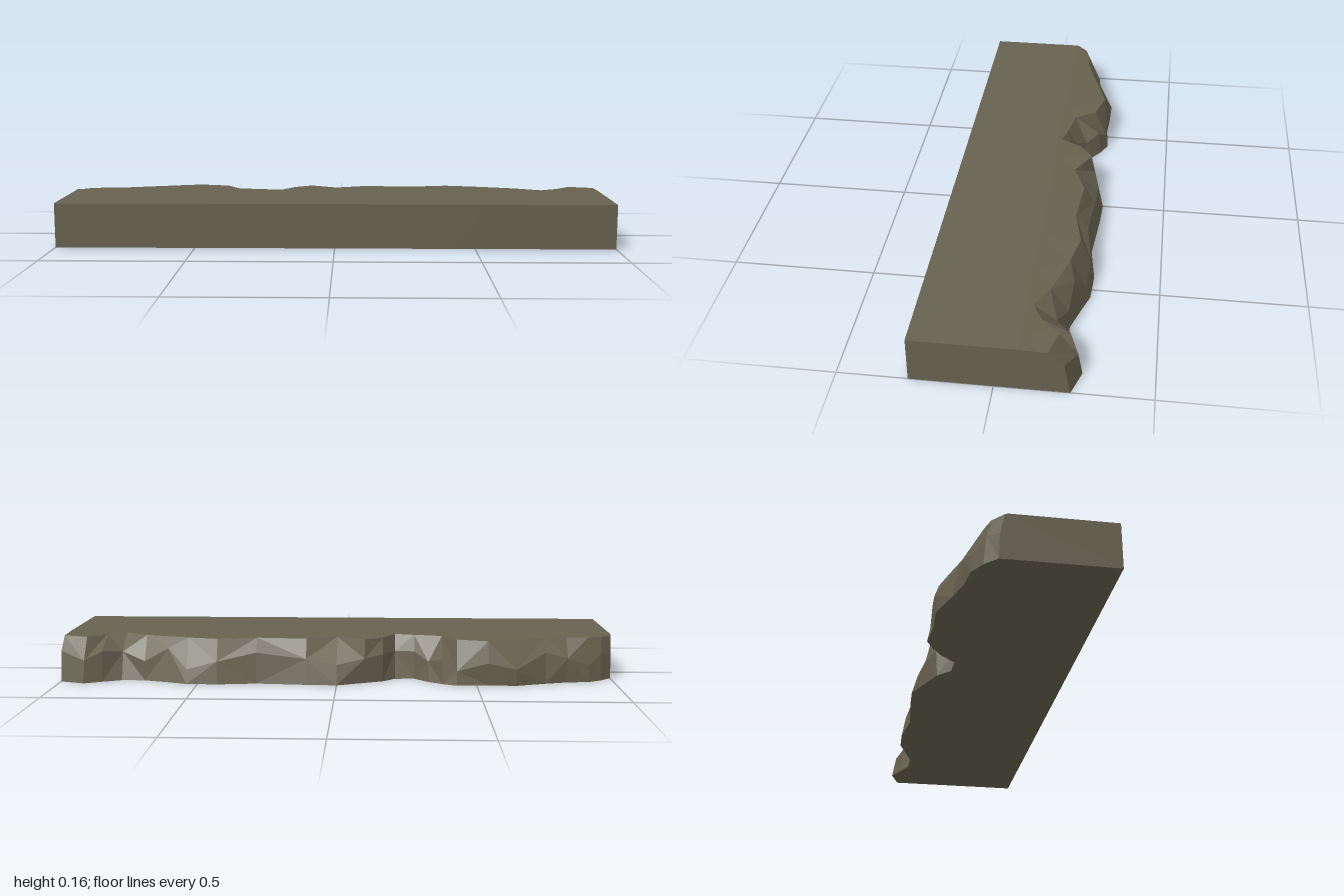
import * as THREE from 'three';

const FRONT = 0.27, TOP = 0.16, INNER = -0.08;

// Stations along the broken edge: x, foot z, bulge z, bulge height, rim z
const EDGE = [
  [-1.0, -0.11, -0.105, 0.09, -0.09],
  [-0.96, -0.15, -0.14, 0.1, -0.125],
  [-0.91, -0.18, -0.175, 0.06, -0.14],
  [-0.83, -0.19, -0.195, 0.09, -0.145],
  [-0.75, -0.215, -0.2, 0.11, -0.17],
  [-0.64, -0.255, -0.26, 0.06, -0.205],
  [-0.54, -0.25, -0.255, 0.08, -0.235],
  [-0.43, -0.26, -0.25, 0.05, -0.205],
  [-0.38, -0.235, -0.225, 0.09, -0.13],
  [-0.33, -0.2, -0.18, 0.07, -0.12],
  [-0.28, -0.145, -0.135, 0.1, -0.11],
  [-0.21, -0.15, -0.125, 0.1, -0.092],
  [-0.165, -0.195, -0.2, 0.1, -0.17],
  [-0.1, -0.225, -0.23, 0.09, -0.215],
  [0.0, -0.27, -0.25, 0.07, -0.16],
  [0.11, -0.265, -0.245, 0.09, -0.205],
  [0.29, -0.25, -0.235, 0.11, -0.19],
  [0.43, -0.27, -0.255, 0.08, -0.22],
  [0.54, -0.265, -0.25, 0.05, -0.195],
  [0.61, -0.24, -0.215, 0.12, -0.175],
  [0.7, -0.21, -0.205, 0.07, -0.145],
  [0.785, -0.21, -0.175, 0.1, -0.1],
  [0.85, -0.24, -0.225, 0.11, -0.135],
  [0.91, -0.27, -0.255, 0.08, -0.195],
  [1.0, -0.24, -0.22, 0.11, -0.168],
];

// Closed cross-section, from the front foot over the top to the back foot
function section([x, foot, bulge, height, rim]) {
  return [
    [x, 0, FRONT], [x, TOP, FRONT], [x, TOP, INNER],
    [x, 0.157, rim], [x, height, bulge], [x, 0, foot],
  ];
}

function slabGeometry() {
  const rings = EDGE.map(section), n = rings[0].length, pos = [];
  const tri = (a, b, c) => pos.push(...a, ...b, ...c);
  for (let i = 0; i < rings.length - 1; i++) {
    for (let j = 0; j < n; j++) {
      const k = (j + 1) % n;
      const a = rings[i][j], b = rings[i + 1][j], c = rings[i + 1][k], d = rings[i][k];
      // Alternating diagonals give the break its chipped facets
      if ((i + j) % 2) { tri(a, b, c); tri(a, c, d); }
      else { tri(a, b, d); tri(b, c, d); }
    }
  }
  // Flat cut ends
  const first = rings[0], last = rings[rings.length - 1];
  for (let j = 1; j < n - 1; j++) {
    tri(first[0], first[j], first[j + 1]);
    tri(last[0], last[j + 1], last[j]);
  }
  const g = new THREE.BufferGeometry();
  g.setAttribute('position', new THREE.Float32BufferAttribute(pos, 3));
  g.computeVertexNormals();
  return g;
}

export function createModel() {
  const stone = new THREE.MeshStandardMaterial({ color: 0x67614f, flatShading: true });
  stone.name = 'stone';
  const slab = new THREE.Mesh(slabGeometry(), stone);
  slab.name = 'brokenSlab';
  const group = new THREE.Group();
  group.name = 'stoneLedge';
  group.add(slab);
  return group;
}
